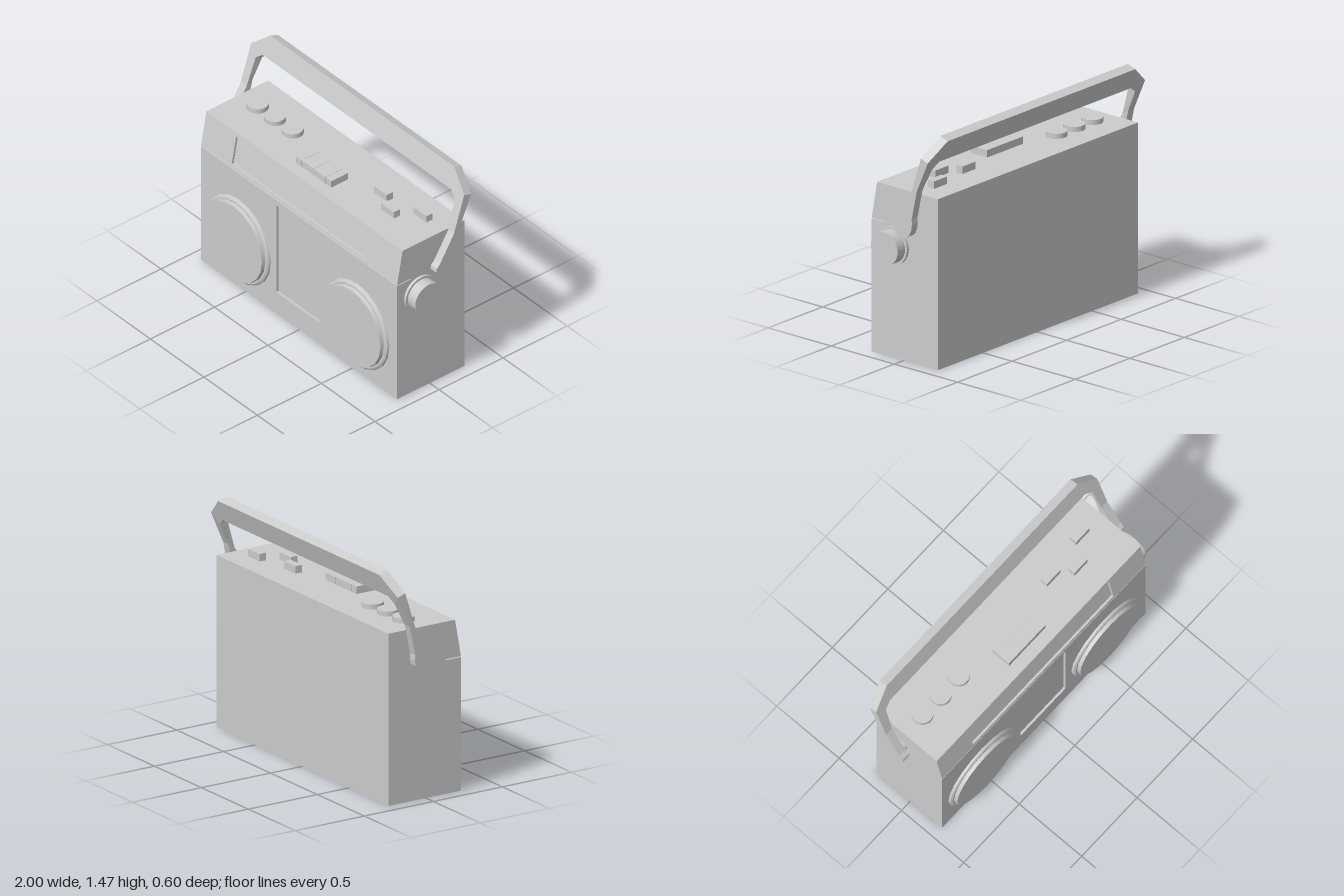
import * as THREE from 'three';

const grey = new THREE.MeshStandardMaterial({ color: 0xcccccc });
const flat = new THREE.MeshStandardMaterial({ color: 0xcccccc, flatShading: true });

const X0 = -0.92, X1 = 0.913; // cabinet sides
const FRONT = 0.255, TOP = 1.085, SEAM = 0.845, RECESS = 0.015;
const SLOPE = (0.212 - FRONT) / (TOP - SEAM);

function add(parent, name, geometry, material = grey, x = 0, y = 0, z = 0) {
  const mesh = new THREE.Mesh(geometry, material);
  mesh.name = name;
  mesh.position.set(x, y, z);
  parent.add(mesh);
  return mesh;
}

const rectPoints = (x0, y0, x1, y1) =>
  [[x0, y0], [x1, y0], [x1, y1], [x0, y1]].map(p => new THREE.Vector2(...p));

// Front plate with a rectangular opening, leaning back by slope above the seam
function plate(outer, hole, slope) {
  const shape = new THREE.Shape(rectPoints(...outer));
  shape.holes.push(new THREE.Path(rectPoints(...hole)));
  const g = new THREE.ExtrudeGeometry(shape, { depth: RECESS, bevelEnabled: false });
  g.translate(0, 0, FRONT - RECESS);
  const p = g.attributes.position;
  for (let i = 0; i < p.count; i++) p.setZ(i, p.getZ(i) + slope * (p.getY(i) - SEAM));
  g.computeVertexNormals();
  return g;
}

// Joins four-cornered sections into a closed, faceted bar
function loft(sections) {
  const pos = [];
  const quad = (a, b, c, d) => [a, b, c, a, c, d].forEach(v => pos.push(...v));
  for (let i = 0; i < sections.length - 1; i++) {
    const s = sections[i], t = sections[i + 1];
    for (let j = 0; j < 4; j++) quad(s[j], s[(j + 1) % 4], t[(j + 1) % 4], t[j]);
  }
  const [a, b, c, d] = sections[0];
  quad(d, c, b, a);
  quad(...sections[sections.length - 1]);
  const g = new THREE.BufferGeometry();
  g.setAttribute('position', new THREE.Float32BufferAttribute(pos, 3));
  g.computeVertexNormals();
  return g;
}

function createCabinet() {
  const group = new THREE.Group();
  group.name = 'cabinet';
  // Side profile (z, y) with the thin seam cut into the front
  const f = FRONT - RECESS, g = 0.003;
  const profile = [[-0.27, 0], [f, 0], [f, SEAM - g], [0.145, SEAM - g], [0.145, SEAM + g],
    [f, SEAM + g], [0.212 - RECESS, TOP], [-0.27, TOP]];
  const core = new THREE.ExtrudeGeometry(
    new THREE.Shape(profile.map(p => new THREE.Vector2(...p))), { depth: X1 - X0, bevelEnabled: false });
  core.rotateY(-Math.PI / 2).translate(X1, 0, 0);
  add(group, 'body', core);
  add(group, 'lowerFront', plate([X0, 0, X1, SEAM - g], [-0.215, 0.16, 0.19, 0.805], 0));
  add(group, 'upperFront', plate([X0, SEAM + g, X1, TOP], [-0.637, 0.87, 0.627, 1.06], SLOPE));
  return group;
}

function createHandle() {
  const group = new THREE.Group();
  group.name = 'handle';
  group.position.x = -0.004;
  // Arm stations: front and back edge as (z, y), widening round the pivot
  const arm = [
    [[-0.03, 0.822], [-0.077, 0.815]],
    [[-0.008, 0.833], [-0.108, 0.835]],
    [[0.0155, 0.876], [-0.128, 0.876]],
    [[0.01, 0.9], [-0.132, 0.91]],
    [[-0.015, 0.925], [-0.13, 0.945]],
    [[-0.124, 1.1], [-0.17, 1.13]],
  ].map(([[zf, yf], [zb, yb]]) =>
    [[0.996, yf, zf], [0.996, yb, zb], [0.942, yb, zb], [0.942, yf, zf]]);
  // Bend and corner where the arm meets the grip
  arm.push(
    [[0.996, 1.35, -0.203], [0.996, 1.33, -0.257], [0.93, 1.27, -0.236], [0.93, 1.29, -0.184]],
    [[0.86, 1.466, -0.24], [0.86, 1.445, -0.298], [0.88, 1.31, -0.25], [0.88, 1.33, -0.197]]);
  const mirrored = arm.map(s => s.map(([x, y, z]) => [-x, y, z])).reverse();
  add(group, 'carryHandle', loft([...arm, ...mirrored]), flat);
  for (const side of [-1, 1]) {
    const pin = new THREE.CylinderGeometry(0.038, 0.038, 0.06, 20).rotateZ(Math.PI / 2);
    add(group, side > 0 ? 'leftPivot' : 'rightPivot', pin, grey, side * 0.925, 0.882, -0.065);
  }
  return group;
}

// Speaker with a stepped, tapering rim
function createSpeaker(x, name) {
  const group = new THREE.Group();
  group.name = name;
  group.position.set(x, 0.352, FRONT);
  const stack = [[0.3, 0.296, -0.005, 0.012], [0.296, 0.284, 0.012, 0.02], [0.272, 0.266, 0.015, 0.043]];
  stack.forEach(([r0, r1, z0, z1], i) => {
    const g = new THREE.CylinderGeometry(r1, r0, z1 - z0, 20).rotateX(Math.PI / 2);
    add(group, ['rim', 'rimBevel', 'grille'][i], g, grey, 0, 0, (z0 + z1) / 2);
  });
  return group;
}

function createControls() {
  const group = new THREE.Group();
  group.name = 'controls';
  // Round dials
  for (const x of [-0.755, -0.592, -0.428])
    add(group, 'dial', new THREE.CylinderGeometry(0.067, 0.067, 0.04, 24), grey, x, TOP + 0.012, -0.05);
  // Row of tape keys
  const w = 0.33 / 6;
  for (let i = 0; i < 6; i++)
    add(group, 'tapeKey', new THREE.BoxGeometry(w - 0.001, 0.06, 0.132), grey,
      -0.18 + w * (i + 0.5), TOP + 0.017, 0.066);
  // Separate push buttons
  for (const [x, z] of [[0.41, -0.058], [0.57, 0.018], [0.725, -0.105]])
    add(group, 'pushButton', new THREE.BoxGeometry(0.12, 0.06, 0.048), grey, x, TOP + 0.017, z);
  // Tuning knob on the side
  const disc = (r, h) => new THREE.CylinderGeometry(r, r, h, 32).rotateZ(Math.PI / 2);
  add(group, 'tuningFlange', disc(0.12, 0.03), grey, X1 + 0.003, 0.715, 0.08);
  add(group, 'tuningKnob', disc(0.105, 0.09), grey, 0.955, 0.715, 0.08);
  return group;
}

export function createModel() {
  const model = new THREE.Group();
  model.name = 'portableRadio';
  model.add(createCabinet(), createHandle(), createControls(),
    createSpeaker(-0.565, 'rightSpeaker'), createSpeaker(0.543, 'leftSpeaker'));
  return model;
}
